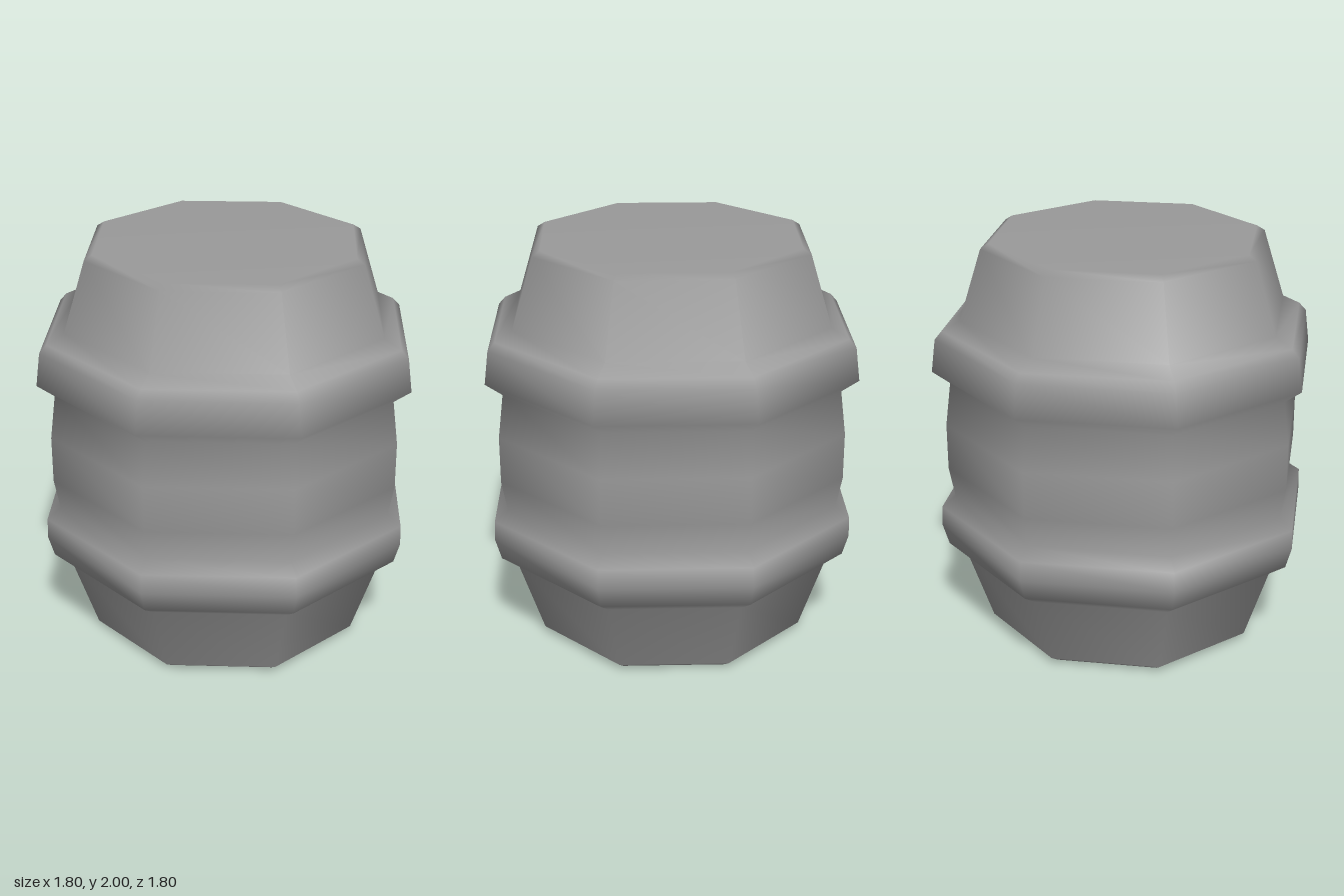
import * as THREE from 'three';

// Barrel profile from bottom to top: [radius, height]
const PROFILE = [
  [0, 0], [0.645, 0], [0.695, 0.035],                             // base bevel
  [0.82, 0.41], [0.905, 0.47], [0.935, 0.575], [0.932, 0.675],    // lower hoop
  [0.863, 0.725], [0.891, 0.88], [0.891, 1.11], [0.863, 1.325],   // belly
  [0.947, 1.39], [0.926, 1.55], [0.89, 1.59], [0.803, 1.635],     // upper hoop
  [0.694, 1.975], [0.655, 2], [0, 2],                             // lid bevel
];

export function createModel() {
  const group = new THREE.Group();
  group.name = 'barrel';

  // Eight-sided body, shaded smoothly over every edge
  const geometry = new THREE.LatheGeometry(
    PROFILE.map(([r, y]) => new THREE.Vector2(r, y)), 8, THREE.MathUtils.degToRad(18.2));

  const body = new THREE.Mesh(geometry, new THREE.MeshStandardMaterial({ color: 0x9a9a9a }));
  body.name = 'barrelBody';
  body.position.set(-0.006, 0, 0.005);
  group.add(body);
  return group;
}
